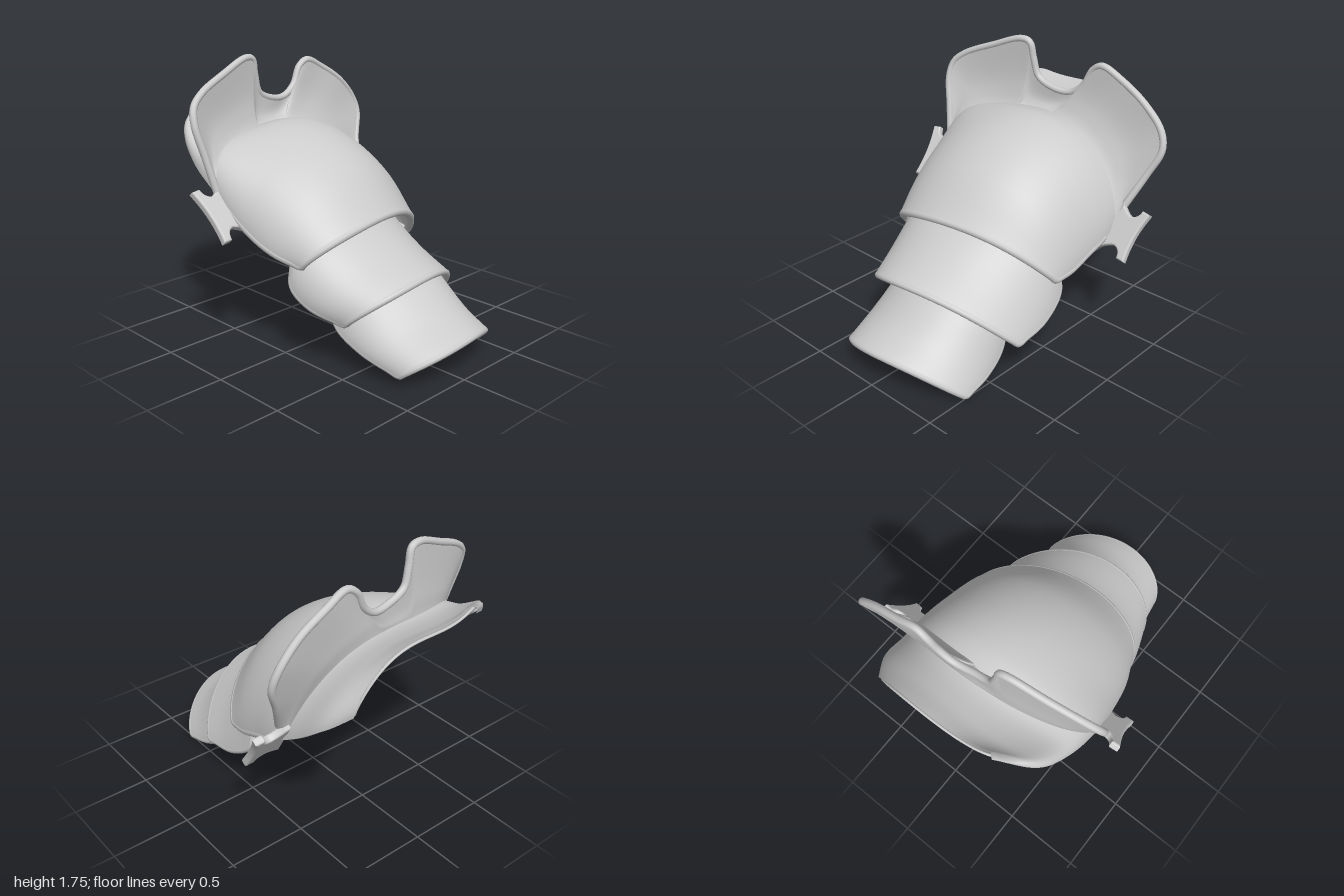
import * as THREE from 'three';

const V = (a) => new THREE.Vector3(...a);
const curveOf = (pts) => new THREE.CatmullRomCurve3(pts.map(V));
const mat = new THREE.MeshStandardMaterial({ color: 0xcccccc, side: THREE.DoubleSide });

function addMesh(group, name, geometry) {
  const mesh = new THREE.Mesh(geometry, mat);
  mesh.name = name;
  group.add(mesh);
}

// Smooth sheet from a point function f(u, v), both 0..1, moved inwards by "inset"
function sheet(f, nu, nv, inset = 0) {
  const pts = [], idx = [];
  for (let j = 0; j <= nv; j++) for (let i = 0; i <= nu; i++) pts.push(...f(i / nu, j / nv).toArray());
  for (let j = 0; j < nv; j++) for (let i = 0; i < nu; i++) {
    const a = j * (nu + 1) + i, b = a + nu + 1;
    idx.push(a, b, a + 1, a + 1, b, b + 1);
  }
  const g = new THREE.BufferGeometry();
  const pos = new THREE.Float32BufferAttribute(pts, 3);
  g.setAttribute('position', pos);
  g.setIndex(idx);
  g.computeVertexNormals();
  const n = g.attributes.normal;
  for (let i = 0; i < pos.count; i++) {
    pos.setXYZ(i, pos.getX(i) - inset * n.getX(i), pos.getY(i) - inset * n.getY(i), pos.getZ(i) - inset * n.getZ(i));
  }
  return g;
}

// Point on an arch that runs front edge -> crest -> back edge
function arch(front, crest, back, u, p) {
  const c = Math.cos(u * Math.PI), s = Math.pow(Math.max(Math.sin(u * Math.PI), 0), p);
  const mid = front.clone().add(back).multiplyScalar(0.5);
  const half = front.clone().sub(mid);
  half.y *= c * c; // keeps the top level although the two edges differ in height
  return mid.clone().addScaledVector(half, c).addScaledVector(crest.clone().sub(mid), s);
}

// Surface lofted through stations of [front, crest, back]
function archSurface(stations, p0, p1) {
  const [f, c, b] = [0, 1, 2].map((k) => curveOf(stations.map((s) => s[k])));
  return (u, v) => arch(f.getPoint(v), c.getPoint(v), b.getPoint(v), u, p0 + (p1 - p0) * v * v);
}

// Rounded bead down one side, across the end and back up the other side
function bead(f, v0, v1, r) {
  const pts = [], n = 10;
  for (let i = 0; i < n; i++) pts.push(f(0, v0 + (v1 - v0) * i / n));
  for (let i = 0; i <= 24; i++) pts.push(f(i / 24, v1));
  for (let i = n - 1; i >= 0; i--) pts.push(f(1, v0 + (v1 - v0) * i / n));
  return new THREE.TubeGeometry(new THREE.CatmullRomCurve3(pts), 160, r, 10);
}

// Strap end: a flat tab flaring outwards, in the plane of "along" and "out"
function strapEnd(centre, along, out, half) {
  const s = new THREE.Shape();
  s.moveTo(-half, -0.12);
  s.quadraticCurveTo(-half * 0.6, -0.05, -half * 0.6, -0.01);
  s.quadraticCurveTo(-half * 0.66, 0.04, -half, 0.05);
  s.lineTo(-half, 0.085);
  s.quadraticCurveTo(0, 0.05, half, 0.085);
  s.lineTo(half, 0.05);
  s.quadraticCurveTo(half * 0.66, 0.04, half * 0.6, -0.01);
  s.quadraticCurveTo(half * 0.6, -0.05, half, -0.12);
  const g = new THREE.ExtrudeGeometry(s, {
    depth: 0.025, bevelEnabled: true, bevelSize: 0.012, bevelThickness: 0.012, bevelSegments: 3, curveSegments: 10,
  });
  g.translate(0, 0, -0.0125);
  const a = V(along).normalize();
  const o = V(out);
  o.addScaledVector(a, -o.dot(a)).normalize();
  const m = new THREE.Matrix4().makeBasis(a, o, a.clone().cross(o)).setPosition(V(centre));
  return g.applyMatrix4(m);
}

export function createModel() {
  const group = new THREE.Group();
  group.name = 'shoulderArmour';

  // Shoulder shell: neck tongue at -x running into the dome
  const shell = archSurface([
    [[-0.92, 1.38, 0.39], [-0.99, 1.4, -0.05], [-0.93, 1.07, -0.48]],
    [[-0.8, 1.28, 0.58], [-0.86, 1.33, 0], [-0.8, 0.95, -0.58]],
    [[-0.62, 1.13, 0.65], [-0.68, 1.28, 0.02], [-0.62, 0.81, -0.61]],
    [[-0.4, 0.99, 0.67], [-0.45, 1.315, 0.03], [-0.42, 0.7, -0.63]],
    [[-0.15, 0.79, 0.64], [-0.2, 1.265, 0.02], [-0.25, 0.63, -0.62]],
    [[0.03, 0.69, 0.6], [0.08, 1.11, 0], [-0.1, 0.57, -0.61]],
    [[0.19, 0.63, 0.53], [0.335, 0.845, 0], [0.02, 0.55, -0.595]],
  ], 0.9, 1.25);
  addMesh(group, 'shoulderShell', sheet(shell, 48, 48));
  addMesh(group, 'shoulderLining', sheet(shell, 48, 48, -0.022));
  addMesh(group, 'shoulderShellRim', bead(shell, 0.52, 1, 0.026));
  addMesh(group, 'neckTongueEdge', bead(shell, 0.5, 0, 0.008));

  // Overlapping arm plates
  const plates = {
    upperArmPlate: [
      [[0.11, 0.62, 0.52], [0.08, 0.86, 0], [-0.05, 0.6, -0.52]],
      [[0.13, 0.49, 0.545], [0.25, 0.77, 0], [-0.07, 0.41, -0.55]],
      [[0.25, 0.39, 0.52], [0.45, 0.645, 0], [0.1, 0.285, -0.575]],
      [[0.46, 0.32, 0.44], [0.675, 0.54, 0], [0.34, 0.24, -0.58]],
    ],
    lowerArmPlate: [
      [[0.3, 0.44, 0.38], [0.42, 0.6, -0.05], [0.3, 0.36, -0.44]],
      [[0.35, 0.27, 0.395], [0.6, 0.47, -0.05], [0.38, 0.17, -0.47]],
      [[0.54, 0.16, 0.385], [0.8, 0.32, -0.05], [0.53, 0.07, -0.49]],
      [[0.8, 0.08, 0.34], [0.98, 0.235, -0.05], [0.71, 0.025, -0.5]],
    ],
  };
  for (const [name, stations] of Object.entries(plates)) {
    const f = archSurface(stations, 1, 1.25);
    addMesh(group, name, sheet(f, 40, 24));
    addMesh(group, name + 'Lining', sheet(f, 40, 24, -0.02));
    addMesh(group, name + 'Rim', bead(f, 0, 1, 0.022));
  }

  // Upright collar flange: two wings with a notch between them
  const outline = curveOf([
    [-0.38, 1.0, 0.69], [-0.42, 1.2, 0.73], [-0.46, 1.4, 0.77], [-0.49, 1.5, 0.75], [-0.52, 1.57, 0.67],
    [-0.57, 1.66, 0.46], [-0.61, 1.735, 0.25], [-0.62, 1.72, 0.19], [-0.63, 1.62, 0.165], [-0.64, 1.5, 0.125],
    [-0.65, 1.445, 0], [-0.67, 1.445, -0.12], [-0.68, 1.51, -0.21], [-0.69, 1.62, -0.27], [-0.69, 1.66, -0.34],
    [-0.7, 1.6, -0.48], [-0.7, 1.49, -0.66], [-0.7, 1.35, -0.79], [-0.68, 1.24, -0.82], [-0.63, 1.08, -0.76],
    [-0.54, 0.88, -0.68],
  ]);
  const angle = (p) => Math.atan2((p.y - 0.87) / 0.43, p.z / 0.66);
  const a0 = angle(outline.getPoint(0)), a1 = angle(outline.getPoint(1));
  // The foot stays on the shell; "flare" spreads it sideways as a fillet
  const collar = (side, flare) => (u, s) => {
    const outer = outline.getPoint(u);
    const t = THREE.MathUtils.clamp((angle(outer) - a0) / (a1 - a0), 0, 1);
    const v = 0.5 - 0.08 * t - 0.1 * Math.sin(Math.PI * t) + flare * Math.pow(1 - s, 3);
    const p = shell(t, v).lerp(outer, s);
    p.x += side * Math.min(1, s * 4);
    return p;
  };
  addMesh(group, 'collarOuterFace', sheet(collar(0.016, 0.06), 140, 14));
  addMesh(group, 'collarInnerFace', sheet(collar(-0.016, -0.02), 140, 14));
  addMesh(group, 'collarRim', new THREE.TubeGeometry(outline, 180, 0.023, 10));

  // Strap ends at the foot of the collar
  addMesh(group, 'frontStrapEnd', strapEnd([-0.295, 0.89, 0.74], [0.25, -0.28, -0.05], [0, 0, 1], 0.17));
  addMesh(group, 'backStrapEnd', strapEnd([-0.475, 0.73, -0.74], [0.19, -0.28, 0.05], [0, 0, -1], 0.155));

  return group;
}
